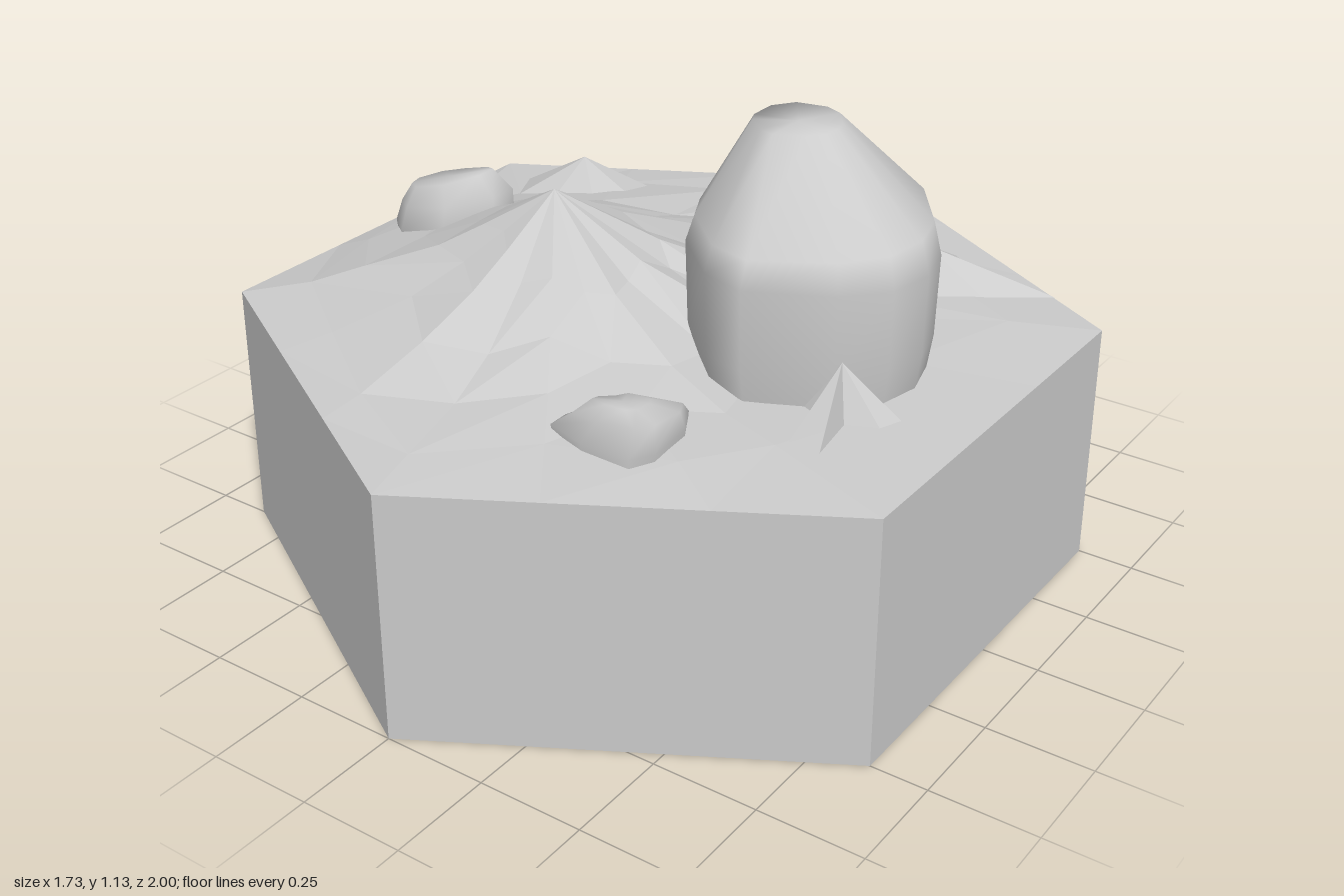
import * as THREE from 'three';

const smooth = new THREE.MeshStandardMaterial({ color: 0xcccccc });
const flat = new THREE.MeshStandardMaterial({ color: 0xcccccc, flatShading: true });

// Repeatable value from 0 to 1
const hash = (n) => { const s = Math.sin(n * 12.9898) * 43758.5453; return s - Math.floor(s); };

// Height of the ground before the hill rises: slightly higher towards -x
const ground = (x) => 0.59 + 0.015 * Math.max(0, -x);

// Skin over closed rings of [x, y, z] from bottom to top, ending in an apex
function loft(rings, apex) {
  const n = rings[0].length, index = [];
  for (let r = 0; r < rings.length; r++) {
    for (let i = 0; i < n; i++) {
      const a = r * n + i, b = r * n + (i + 1) % n;
      if (r < rings.length - 1) index.push(a, a + n, b, b, a + n, b + n);
      else index.push(rings.length * n, b, a);
    }
  }
  const geo = new THREE.BufferGeometry();
  geo.setAttribute('position', new THREE.Float32BufferAttribute([...rings.flat(), apex].flat(), 3));
  geo.setIndex(index);
  geo.computeVertexNormals();
  return geo;
}

function add(group, name, geo, material) {
  const mesh = new THREE.Mesh(geo, material);
  mesh.name = name;
  group.add(mesh);
}

// Boulder: plan outline [x, z], levels [y, scale, dx, dz, tiltX, tiltZ]
function rock(outline, levels) {
  const n = outline.length;
  const cx = outline.reduce((s, p) => s + p[0], 0) / n;
  const cz = outline.reduce((s, p) => s + p[1], 0) / n;
  const rings = levels.map(([y, s, dx = 0, dz = 0, tx = 0, tz = 0]) => outline.map(([x, z]) => {
    const u = (x - cx) * s, v = (z - cz) * s;
    return [cx + u + dx, y + u * tx + v * tz, cz + v + dz];
  }));
  const [y, , dx = 0, dz = 0] = levels[levels.length - 1];
  return loft(rings, [cx + dx, y, cz + dz]);
}

// Small crag: fan from a peak down to its feet
function crag(x, y, z, feet) {
  return loft([feet.map(([fx, fz]) => [fx, 0.59, fz])], [x, y, z]);
}

// Faceted hill sloping from an off-centre peak to the hexagonal rim
function hill() {
  const peak = [-0.19, 0.91, 0.16], rim = [], perSide = 3;
  for (let k = 0; k < 6; k++) {
    const a = k * Math.PI / 3, b = a + Math.PI / 3;
    for (let j = 0; j < perSide; j++) {
      const t = j / perSide;
      rim.push([
        THREE.MathUtils.lerp(Math.sin(a), Math.sin(b), t),
        THREE.MathUtils.lerp(-Math.cos(a), -Math.cos(b), t),
      ]);
    }
  }
  const rings = [1, 0.78, 0.56, 0.37, 0.2].map((t, r) => rim.map(([x, z], i) => {
    const s = r === 0 ? 1 : t * (0.9 + 0.2 * hash(i * 7 + r * 31));
    const dx = (x - peak[0]) * s, dz = (z - peak[2]) * s, d = Math.hypot(dx, dz);
    // Reach of the slope: long to the back and -x, with alternate spurs and gullies
    const reach = 0.74 - 0.14 * dx / d - 0.1 * dz / d + (i % 2 ? -0.05 : 0.05);
    const rise = r === 0 ? 0
      : 0.29 * Math.max(0, 1 - d / reach) ** 2 + 0.035 * (1 - t) + 0.012 * hash(i * 5 + r);
    const px = peak[0] + dx;
    return [px, ground(px) + rise, peak[2] + dz];
  }));
  return loft(rings, peak);
}

export function createModel() {
  const model = new THREE.Group();
  model.name = 'rockyHexTile';

  // Hexagonal block, corners pointing along z, top edge meeting the hill
  const block = new THREE.CylinderGeometry(1, 1, 0.59, 6, 1, true);
  block.translate(0, 0.295, 0);
  const pos = block.attributes.position;
  for (let i = 0; i < pos.count; i++) if (pos.getY(i) > 0.5) pos.setY(i, ground(pos.getX(i)));
  add(model, 'base', block, flat);
  add(model, 'hill', hill(), flat);

  // Underside with a very shallow hollow
  const corners = Array.from({ length: 6 }, (_, k) => [Math.sin(k * Math.PI / 3), 0, Math.cos(k * Math.PI / 3)]);
  add(model, 'underside', loft([corners], [-0.1, 0.02, 0]), flat);
  
  // Boulders
  add(model, 'largeBoulder', rock(
    [[0.42, -0.3], [0.54, -0.25], [0.65, -0.1], [0.68, 0.01], [0.66, 0.12], [0.58, 0.21],
      [0.4, 0.3], [0.29, 0.27], [0.16, 0.15], [0.12, 0.07], [0.12, -0.12], [0.22, -0.26]],
    [[0.57, 0.92], [0.68, 0.98], [0.87, 1], [0.94, 0.93, 0, 0, 0.02, -0.03],
      [1.13, 0.35, -0.07, -0.03]]), smooth);

  add(model, 'backBoulder', rock(
    [[-0.03, -0.76], [0.1, -0.69], [0.2, -0.69], [0.23, -0.58], [0.31, -0.35], [0.29, -0.27],
      [0.15, -0.26], [0.0, -0.3], [-0.1, -0.4], [-0.15, -0.52], [-0.15, -0.6]],
    [[0.57, 0.94], [0.66, 1], [0.79, 0.9, 0, 0.02, 0, 0.18], [0.87, 0.64, 0, 0.04, 0, 0.14]]), smooth);

  add(model, 'rightBoulder', rock(
    [[-0.74, -0.07], [-0.65, -0.09], [-0.54, -0.09], [-0.49, -0.06], [-0.49, 0.02],
      [-0.57, 0.12], [-0.7, 0.12], [-0.77, 0.06], [-0.79, 0.0]],
    [[0.58, 0.93], [0.67, 1, 0, 0, 0.08], [0.74, 0.93, 0.01, 0, 0.2], [0.785, 0.68, 0, 0, 0.28]]), smooth);

  add(model, 'frontBoulder', rock(
    [[0.22, 0.42], [0.35, 0.41], [0.39, 0.48], [0.4, 0.6], [0.37, 0.65], [0.25, 0.65], [0.15, 0.62],
      [0.15, 0.57], [0.2, 0.5]],
    [[0.58, 0.97], [0.625, 1], [0.67, 0.8, 0.025, 0.01, 0.15, 0.15],
      [0.705, 0.42, 0.025, 0.03, 0.05, 0.2]]), smooth);

  // Crags
  add(model, 'frontCrag', crag(0.59, 0.72, 0.2,
    [[0.6, 0.05], [0.64, 0.16], [0.72, 0.15], [0.7, 0.21], [0.63, 0.25], [0.65, 0.39],
      [0.61, 0.3], [0.57, 0.4], [0.56, 0.25], [0.49, 0.22], [0.54, 0.15]]), flat);
  add(model, 'backCrag', crag(0.43, 0.7, -0.47,
    [[0.4, -0.68], [0.52, -0.6], [0.7, -0.6], [0.6, -0.47], [0.5, -0.38], [0.38, -0.28],
      [0.33, -0.4], [0.25, -0.5]]), flat);
  add(model, 'rightCrag', crag(-0.58, 0.7, -0.46,
    [[-0.62, -0.6], [-0.54, -0.57], [-0.38, -0.58], [-0.3, -0.42], [-0.36, -0.24], [-0.56, -0.2],
      [-0.72, -0.24], [-0.78, -0.42], [-0.69, -0.48]]), flat);
  return model;
}
